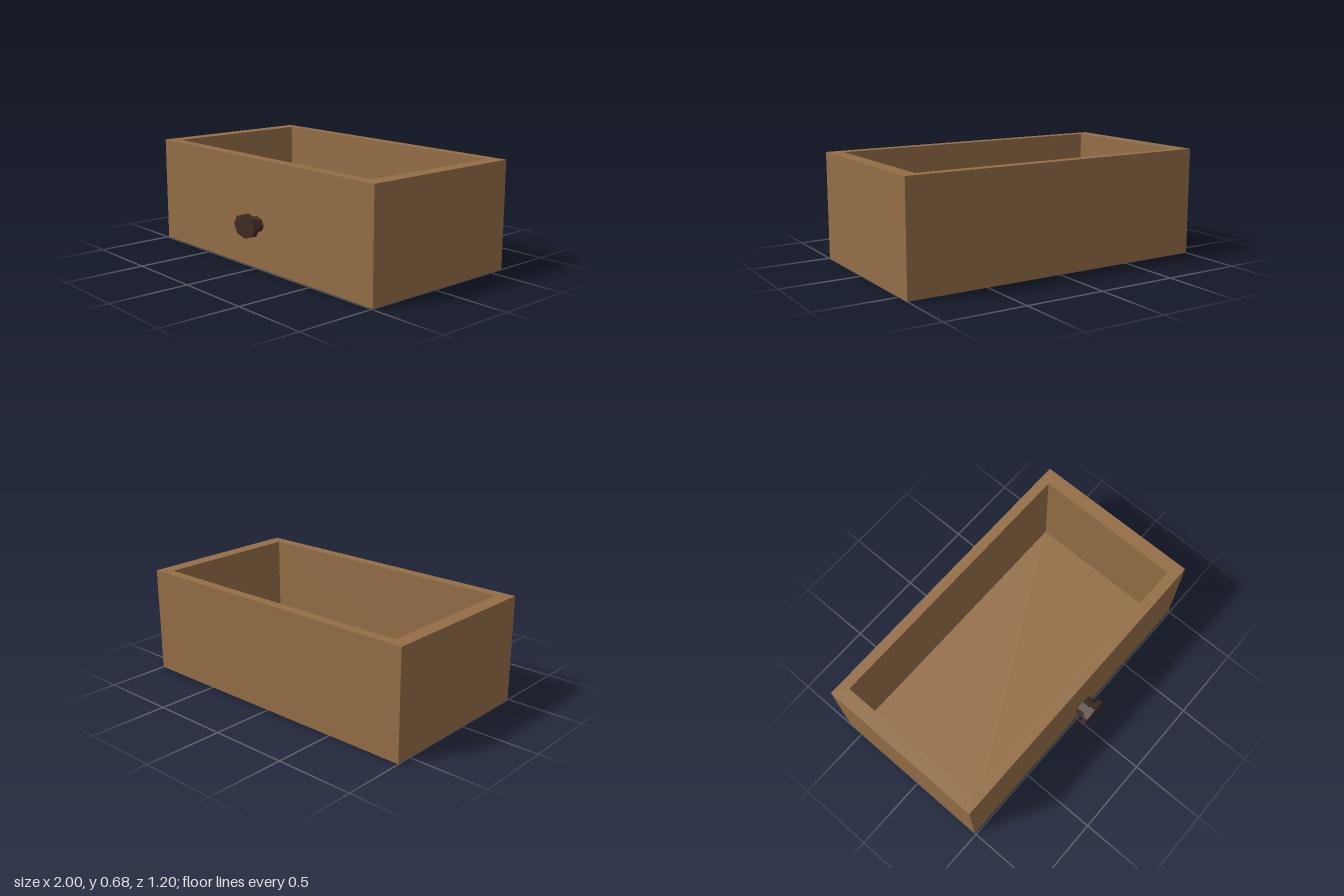
import * as THREE from 'three';

const wood = new THREE.MeshStandardMaterial({ color: 0x946e46 });
wood.name = 'wood';
const darkWood = new THREE.MeshStandardMaterial({ color: 0x3f2b22 });
darkWood.name = 'darkWood';

// Rectangle outline in plan; plan y is -z once laid flat
function rectangle(Type, x, zBack, zFront) {
  return new Type([
    new THREE.Vector2(-x, -zFront),
    new THREE.Vector2(x, -zFront),
    new THREE.Vector2(x, -zBack),
    new THREE.Vector2(-x, -zBack),
  ]);
}

// Flat slab or frame between two heights
function slab(name, shape, y0, y1) {
  const geometry = new THREE.ExtrudeGeometry(shape, { depth: y1 - y0, bevelEnabled: false });
  geometry.rotateX(-Math.PI / 2).translate(0, y0, 0);
  const mesh = new THREE.Mesh(geometry, wood);
  mesh.name = name;
  return mesh;
}

// Eight-sided oval disc facing the front
function ovalDisc(name, rx, ry, z0, z1) {
  const geometry = new THREE.CylinderGeometry(1, 1, z1 - z0, 8).toNonIndexed();
  geometry.rotateX(Math.PI / 2).scale(rx, ry, 1).translate(0, 0, (z0 + z1) / 2);
  geometry.computeVertexNormals();
  const mesh = new THREE.Mesh(geometry, darkWood);
  mesh.name = name;
  return mesh;
}

export function createModel() {
  const model = new THREE.Group();
  model.name = 'drawer';

  // Open-topped box: four walls around a thin floor
  const walls = rectangle(THREE.Shape, 1, -0.601, 0.491);
  walls.holes.push(rectangle(THREE.Path, 0.91, -0.537, 0.422));
  model.add(slab('walls', walls, 0, 0.677));
  model.add(slab('floor', rectangle(THREE.Shape, 0.91, -0.537, 0.422), 0, 0.02));

  // Pull knob, just off the front panel
  const knob = new THREE.Group();
  knob.name = 'knob';
  knob.position.set(0.02, 0.283, 0);
  knob.add(ovalDisc('knobStem', 0.067, 0.05, 0.506, 0.566));
  knob.add(ovalDisc('knobFace', 0.102, 0.075, 0.566, 0.601));
  model.add(knob);

  return model;
}
